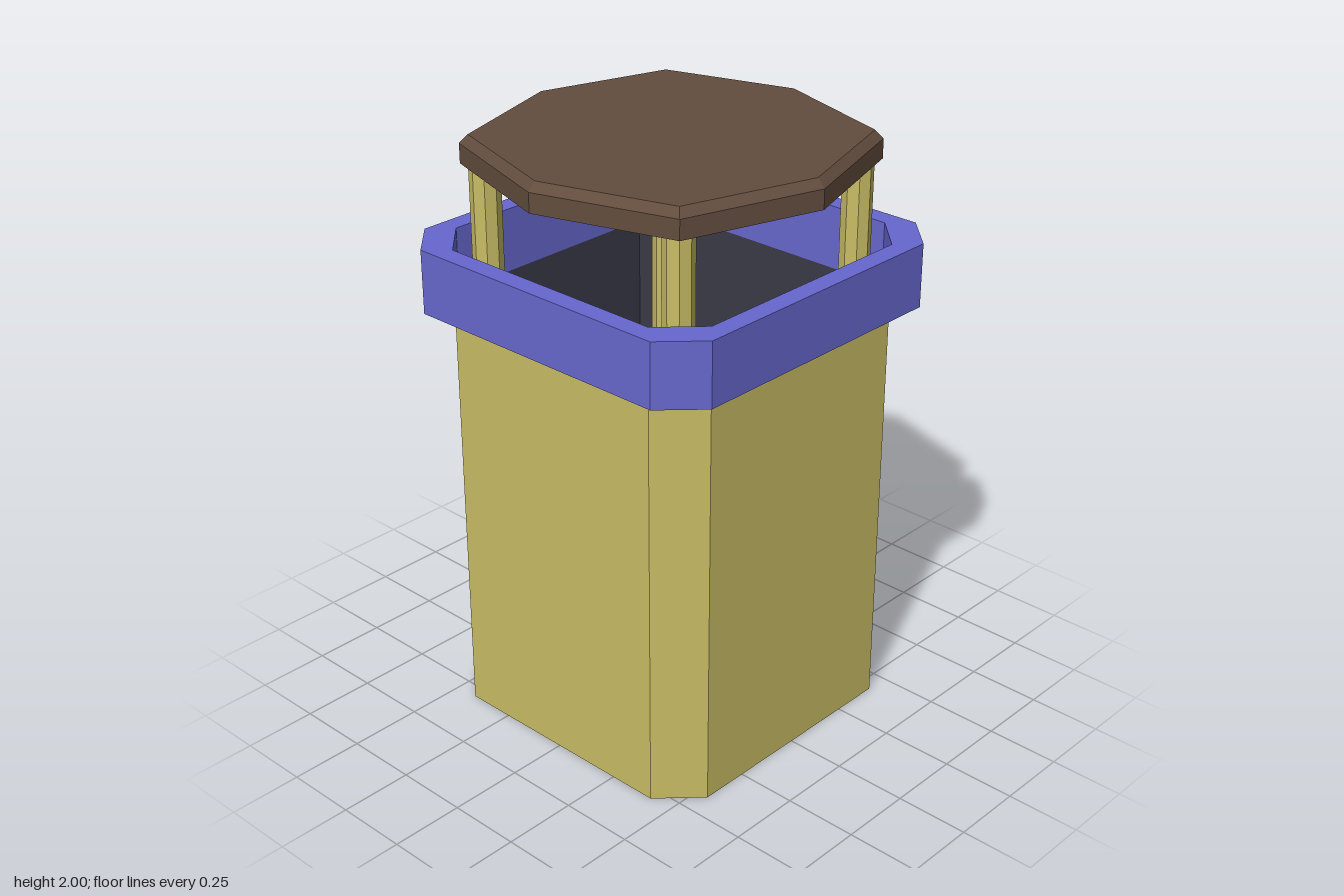
import * as THREE from 'three';

const paint = color => new THREE.MeshStandardMaterial({ color, flatShading: true });

// Square outline with cut corners: half = half width, cut = where the corner cut begins
function outline(half, cut, Type = THREE.Shape) {
  const points = [];
  for (let i = 0; i < 4; i++) {
    for (const [x, y] of [[half, -cut], [half, cut]]) {
      points.push(new THREE.Vector2(x, y).rotateAround(new THREE.Vector2(), i * Math.PI / 2));
    }
  }
  return new Type(points);
}

// Upright prism between two heights, optionally with a hole
function prism(shape, bottom, top, hole) {
  if (hole) shape.holes.push(hole);
  return new THREE.ExtrudeGeometry(shape, { depth: top - bottom, bevelEnabled: false })
    .rotateX(-Math.PI / 2)
    .translate(0, bottom, 0);
}

export function createModel() {
  const model = new THREE.Group();
  model.name = 'watchtower';
  const add = (name, geometry, material) => {
    const mesh = new THREE.Mesh(geometry, material);
    mesh.name = name;
    model.add(mesh);
    return mesh;
  };

  const sand = paint(0xc8bc65);
  const blue = paint(0x6767ce);
  const brown = paint(0x624d3e);
  const dark = paint(0x3a3a48);

  // Hollow tower body with a closed base
  add('towerWall', prism(outline(0.546, 0.417), 0.005, 1.443, outline(0.545, 0.4165, THREE.Path)), sand);
  add('towerBase', prism(outline(0.546, 0.417), 0, 0.005), sand);

  // Dark inner lining and floor
  add('innerLining', prism(outline(0.5448, 0.4164), 0.006, 1.443, outline(0.544, 0.416, THREE.Path)), dark);
  add('innerFloor', prism(outline(0.544, 0.416), 0.006, 0.01), dark);

  // Overhanging parapet ring
  add('parapet', prism(outline(0.612, 0.488), 1.443, 1.658, outline(0.544, 0.416, THREE.Path)), blue);

  // Four eight-sided roof posts, standing inside the shaft
  const postBottom = 0.01, postTop = 1.907;
  const post = new THREE.CylinderGeometry(0.05, 0.05, postTop - postBottom, 8);
  for (const x of [-1, 1]) {
    for (const z of [-1, 1]) {
      add('roofPost', post, sand).position.set(x * 0.407, (postTop + postBottom) / 2, z * 0.407);
    }
  }

  // Eight-sided roof slab with a bevelled rim; its diagonal corners reach further out
  const profile = [[0, 1.907], [0.603, 1.907], [0.603, 1.972], [0.577, 2], [0, 2]]
    .map(([r, y]) => new THREE.Vector2(r, y));
  const roof = new THREE.LatheGeometry(profile, 8);
  const p = roof.attributes.position;
  for (let i = 0; i < p.count; i++) {
    const x = p.getX(i), z = p.getZ(i);
    const stretch = Math.abs(x * z) > 0.01 ? 1.078 : 1;
    p.setXYZ(i, x * stretch, p.getY(i), z * stretch);
  }
  roof.computeVertexNormals();
  add('roof', roof, brown);

  return model;
}
